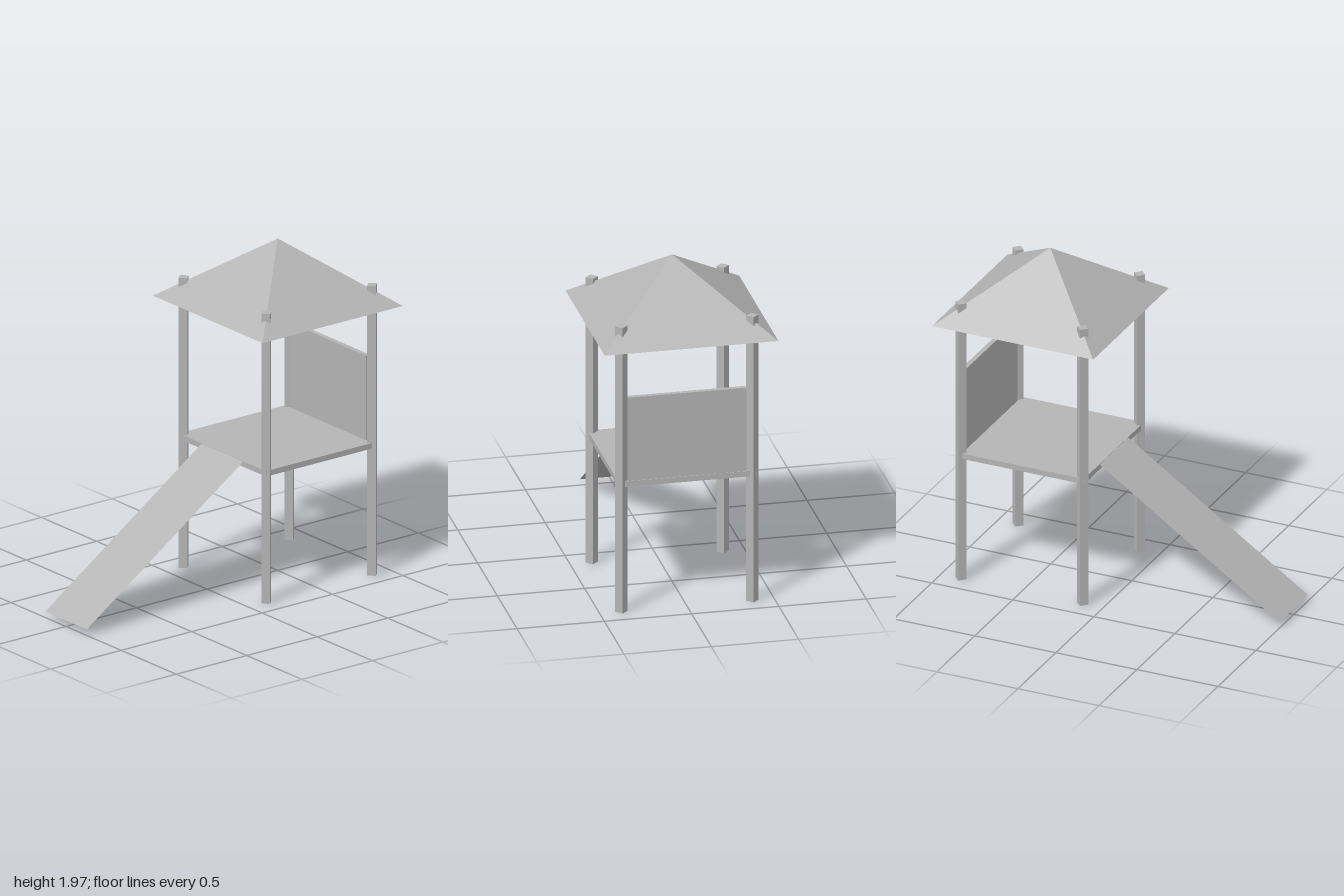
import * as THREE from 'three';

export function createModel() {
  const model = new THREE.Group();
  model.name = 'playTower';
  const grey = new THREE.MeshStandardMaterial({ color: 0xb4b4b4, flatShading: true, side: THREE.DoubleSide });
  grey.name = 'plain grey';

  const towerZ = -0.5025; // middle of the tower; the slide fills the front half

  function add(name, geometry, x, y, z, parent = model) {
    const mesh = new THREE.Mesh(geometry, grey);
    mesh.name = name;
    mesh.position.set(x, y, z);
    parent.add(mesh);
    return mesh;
  }

  // Four square posts turned corner-on, poking through the roof
  const posts = new THREE.Group();
  posts.name = 'posts';
  model.add(posts);
  const postHeight = 1.72;
  const postGeometry = new THREE.CylinderGeometry(0.035, 0.035, postHeight, 4);
  for (const sx of [-1, 1]) {
    for (const sz of [-1, 1]) {
      const name = (sz > 0 ? 'front' : 'back') + (sx > 0 ? 'Left' : 'Right') + 'Post';
      add(name, postGeometry, sx * 0.375, postHeight / 2, towerZ + sz * 0.375, posts);
    }
  }

  // Platform and the back wall standing on it
  add('platform', new THREE.BoxGeometry(0.79, 0.033, 0.785), 0, 0.7715, towerZ);
  add('backWall', new THREE.BoxGeometry(0.68, 0.502, 0.028), 0, 1.039, towerZ - 0.375);

  // Closed pyramid roof
  const roofHeight = 0.37;
  const roofGeometry = new THREE.ConeGeometry(0.4975 * Math.SQRT2, roofHeight, 4);
  roofGeometry.rotateY(Math.PI / 4);
  add('roof', roofGeometry, 0, 1.6 + roofHeight / 2, towerZ);

  // Flat sheet slide from the platform edge down to the front
  const top = new THREE.Vector2(-0.11, 0.786);
  const end = new THREE.Vector2(1, 0.035);
  const slideGeometry = new THREE.PlaneGeometry(0.376, top.distanceTo(end));
  const slide = add('slide', slideGeometry, 0, (top.y + end.y) / 2, (top.x + end.x) / 2);
  slide.rotation.x = -Math.atan2(end.x - top.x, top.y - end.y);

  return model;
}
